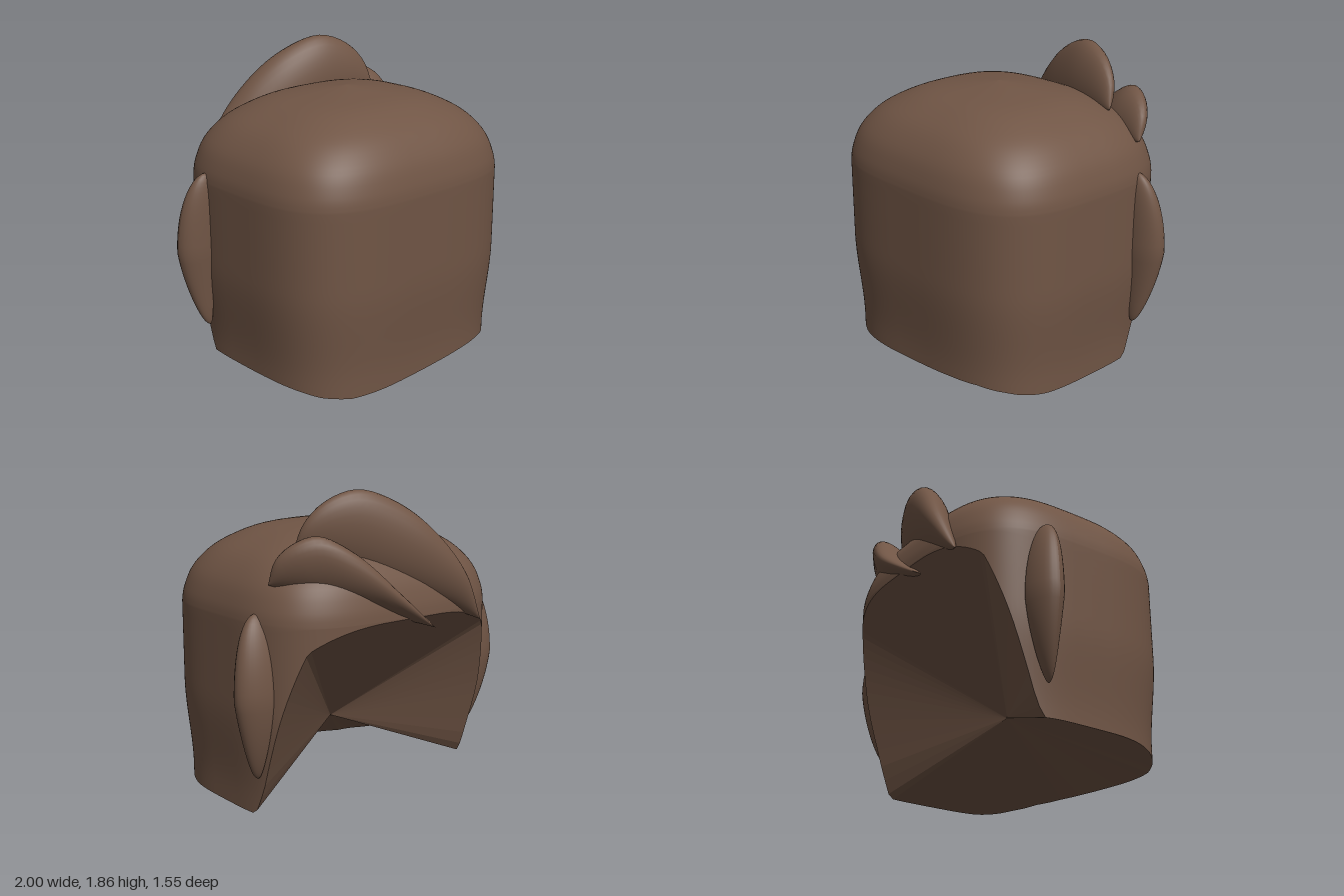
import * as THREE from 'three';

const brown = new THREE.MeshStandardMaterial({ color: 0x705545 });
brown.name = 'brown';

const SEG = 128;
const APEX = [0.01, 0.37, 0.05];
const vec = p => new THREE.Vector3(...p);

// piecewise linear lookup, keys ascending
function lookup(table, k) {
  if (k <= table[0][0]) return table[0][1];
  for (let i = 1; i < table.length; i++) {
    const [k0, v0] = table[i - 1], [k1, v1] = table[i];
    if (k <= k1) return v0 + (v1 - v0) * (k - k0) / (k1 - k0);
  }
  return table[table.length - 1][1];
}

// smooth skin over a list of closed rings of [x, y, z] points
function skin(rings) {
  const n = rings[0].length, idx = [];
  for (let i = 0; i < rings.length - 1; i++) {
    for (let j = 0; j < n; j++) {
      const a = i * n + j, b = i * n + (j + 1) % n;
      idx.push(a, b, a + n, b, b + n, a + n);
    }
  }
  const g = new THREE.BufferGeometry();
  g.setAttribute('position', new THREE.Float32BufferAttribute(rings.flat(2), 3));
  g.setIndex(idx);
  g.computeVertexNormals();
  return g;
}

// rounded-square outline, rounder near the crown
function plan(phi, r) {
  const e = 2 / (2 + 1.4 * Math.min(1, r * 1.1));
  const c = Math.cos(phi), s = Math.sin(phi);
  return [
    0.01 + 0.855 * r * Math.sign(c) * Math.abs(c) ** e,
    0.02 + 0.74 * r * Math.sign(s) * Math.abs(s) ** e,
  ];
}

// height of the open lower edge: low and wavy in front, cut away at the back
const wave = [[-0.82, 0.06], [-0.7, 0.02], [-0.55, 0], [-0.3, 0.012], [0, 0.03],
  [0.35, 0.055], [0.55, 0.06], [0.7, 0.04], [0.82, 0.005]];
const backEdge = [[-0.7, 1.13], [-0.65, 1.07], [-0.59, 1.0], [-0.5, 0.69], [-0.42, 0.4],
  [-0.35, 0.16], [-0.28, 0]];
const rimHeight = (x, z) => Math.max(lookup(wave, x), lookup(backEdge, z));

const taper = y => 1 - 0.045 * (1 - THREE.MathUtils.smoothstep(y, 0.08, 0.65));

const crown = new THREE.SplineCurve([
  [0, 1.655], [0.25, 1.632], [0.5, 1.597], [0.68, 1.535], [0.82, 1.455],
  [0.93, 1.34], [0.985, 1.22], [1, 1.14],
].map(p => new THREE.Vector2(...p)));

function shellRings() {
  const crownRings = 28, wallRings = 20, rings = [];
  for (let i = 0; i <= crownRings + wallRings; i++) {
    const ring = [];
    for (let j = 0; j < SEG; j++) {
      const phi = j / SEG * Math.PI * 2;
      let { x: r, y } = crown.getPoint(Math.min(1, i / crownRings));
      if (i > crownRings) {
        y = THREE.MathUtils.lerp(y, rimHeight(...plan(phi, 0.975)), (i - crownRings) / wallRings);
        r = taper(y);
      }
      const [x, z] = plan(phi, r);
      ring.push([x, y, z]);
    }
    rings.push(ring);
  }
  return rings;
}

// hollow underside: every rim segment runs to one inner point
function hollowGeometry(rim) {
  const fan = rim.flatMap((p, j) => [...p, ...rim[(j + 1) % SEG], ...APEX]);
  const g = new THREE.BufferGeometry();
  g.setAttribute('position', new THREE.Float32BufferAttribute(fan, 3));
  g.computeVertexNormals();
  return g;
}

// pointed petal: lens sections between an arched outer edge and its chord
function tuftGeometry(edge, thick) {
  const curve = new THREE.CatmullRomCurve3(edge.map(vec));
  const start = vec(edge[0]), end = vec(edge[edge.length - 1]);
  const side = new THREE.Vector3(0.33, 0, -0.94);
  const rings = [];
  for (let i = 0; i <= 36; i++) {
    const t = i / 36;
    const outer = curve.getPointAt(t), inner = start.clone().lerp(end, t);
    const mid = outer.clone().add(inner).multiplyScalar(0.5);
    const half = outer.sub(inner).multiplyScalar(0.5);
    const w = thick * Math.sin(Math.PI * t) ** 0.8;
    const ring = [];
    for (let j = 0; j < 28; j++) {
      const a = j / 28 * Math.PI * 2;
      ring.push(mid.clone().addScaledVector(half, Math.cos(a))
        .addScaledVector(side, w * Math.sin(a)).toArray());
    }
    rings.push(ring);
  }
  return skin(rings);
}

// side lock: bowed teardrop, flat on the inside and narrow at the bottom
function lockGeometry(side) {
  const g = new THREE.SphereGeometry(1, 32, 28);
  const p = g.attributes.position;
  for (let i = 0; i < p.count; i++) {
    const x = p.getX(i) * side, y = p.getY(i), z = p.getZ(i);
    const narrow = 1 + 0.4 * Math.min(y, 0);
    p.setXYZ(i,
      side * (0.825 + (x > 0 ? 0.175 : 0.045) * x * narrow),
      0.72 + 0.48 * y,
      (side > 0 ? -0.325 : -0.29) - 0.045 * (1 - y * y) + 0.1 * z * narrow);
  }
  g.computeVertexNormals();
  return g;
}

export function createModel() {
  const model = new THREE.Group();
  model.name = 'hairCap';
  const add = (name, geometry) => {
    const mesh = new THREE.Mesh(geometry, brown);
    mesh.name = name;
    model.add(mesh);
  };

  const rings = shellRings();
  add('shell', skin(rings));
  add('hollowInside', hollowGeometry(rings[rings.length - 1]));

  add('leftLock', lockGeometry(1));
  add('rightLock', lockGeometry(-1));

  // swept petals on the back of the crown
  add('largeTuft', tuftGeometry([
    [0.58, 1.52, -0.34], [0.54, 1.68, -0.39], [0.43, 1.8, -0.44], [0.25, 1.86, -0.5],
    [0.02, 1.78, -0.58], [-0.18, 1.62, -0.66], [-0.38, 1.36, -0.73], [-0.54, 1.05, -0.71],
  ], 0.12));
  add('smallTuft', tuftGeometry([
    [0.78, 1.36, -0.38], [0.765, 1.5, -0.43], [0.69, 1.59, -0.49], [0.57, 1.63, -0.55],
    [0.38, 1.53, -0.64], [0.12, 1.28, -0.74], [-0.17, 1.05, -0.71],
  ], 0.12));
  return model;
}
